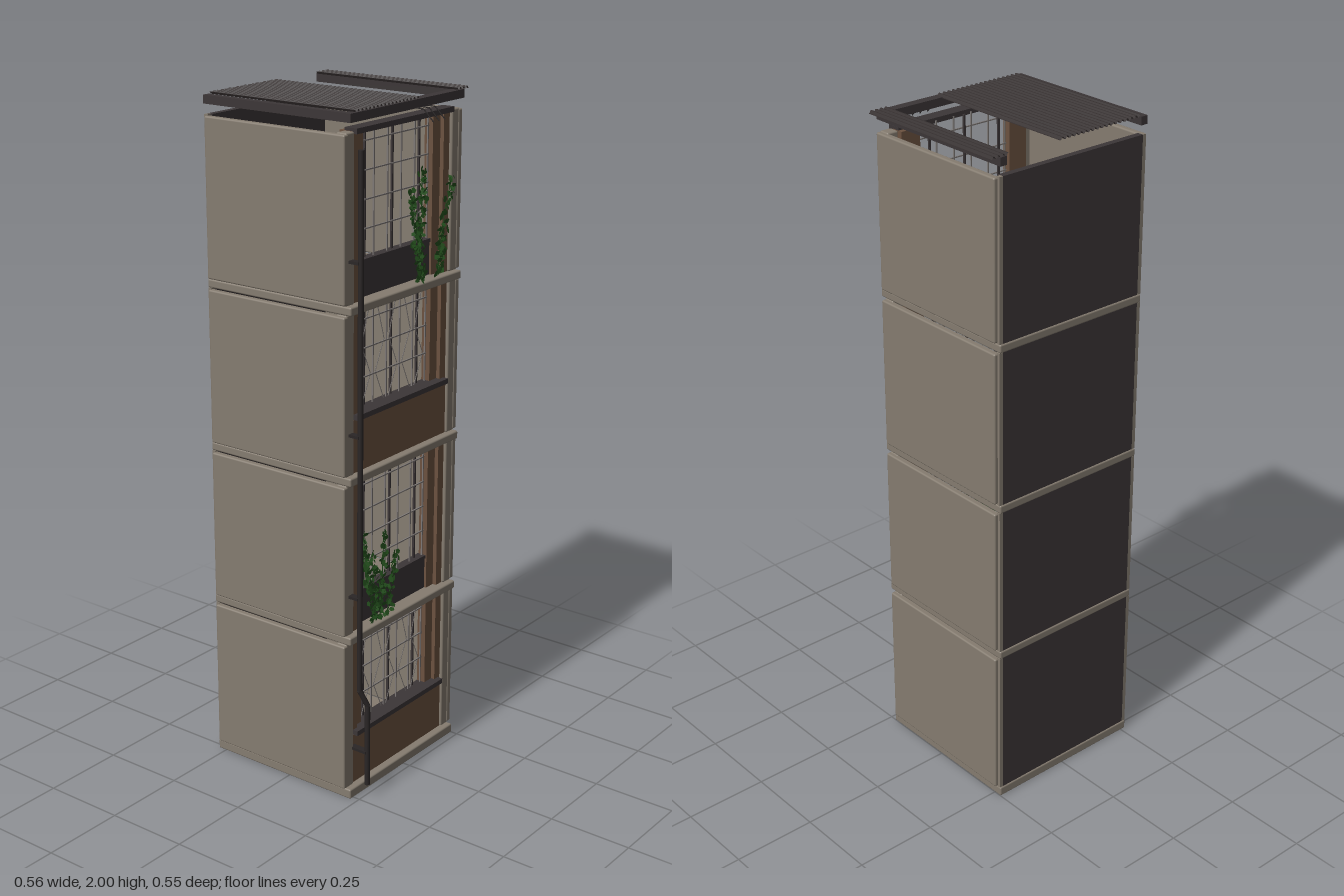
import * as THREE from 'three';
import { mergeGeometries } from 'three/addons/utils/BufferGeometryUtils.js';
import { RoundedBoxGeometry } from 'three/addons/geometries/RoundedBoxGeometry.js';

const C = -0.008; // centre line of the tower body
const mat = (name, color, side = THREE.FrontSide) => {
  const m = new THREE.MeshStandardMaterial({ color, side });
  m.name = name;
  return m;
};

export function createModel() {
  const concrete = mat('concrete', 0x857c70);
  const wood = mat('wood', 0x6c5240);
  const dark = mat('darkPanel', 0x3c3637);
  const roofing = mat('roofing', 0x352f2f, THREE.DoubleSide);
  const metal = mat('darkMetal', 0x2a2626);
  const bar = mat('grilleBar', 0x7d7876);
  const leaf = mat('leaf', 0x24501d, THREE.DoubleSide);

  const model = new THREE.Group();
  model.name = 'tower';
  const add = (parent, name, geo, material) => {
    const m = new THREE.Mesh(geo, material);
    m.name = name;
    parent.add(m);
    return m;
  };
  // box geometry given by its limits
  const span = (x0, x1, y0, y1, z0, z1) =>
    new THREE.BoxGeometry(x1 - x0, y1 - y0, z1 - z0).translate((x0 + x1) / 2, (y0 + y1) / 2, (z0 + z1) / 2);
  const rounded = (x0, x1, y0, y1, z0, z1, r) =>
    new RoundedBoxGeometry(x1 - x0, y1 - y0, z1 - z0, 2, r)
      .translate((x0 + x1) / 2, (y0 + y1) / 2, (z0 + z1) / 2);
  // round rod between two points
  const rod = (a, b, r, sides = 5) => {
    const p = new THREE.Vector3(...a), d = new THREE.Vector3(...b).sub(p);
    const g = new THREE.CylinderGeometry(r, r, d.length(), sides);
    g.applyQuaternion(new THREE.Quaternion().setFromUnitVectors(new THREE.Vector3(0, 1, 0), d.clone().normalize()));
    return g.translate(p.x + d.x / 2, p.y + d.y / 2, p.z + d.z / 2);
  };
  let seed = 7;
  const rnd = () => (seed = (seed * 16807) % 2147483647) / 2147483647;

  // Storey walls, bands and fronts
  const slabs = [[0, 0.03], [0.49, 0.515], [0.97, 0.995], [1.455, 1.48]];
  const tops = [0.49, 0.97, 1.455, 1.942];
  slabs.forEach(([s0, y0], i) => {
    const y1 = tops[i];
    const g = new THREE.Group();
    g.name = 'storey' + (i + 1);
    model.add(g);
    add(g, 'floorBand', rounded(C - 0.259, C + 0.259, s0, y0, -0.277, 0.23, 0.005), concrete);
    add(g, 'backWall', span(C - 0.247, C + 0.247, y0, y1, -0.274, -0.255), dark);
    for (const s of [-1, 1]) {
      const xs = (a, b) => (s < 0 ? [C - b, C - a] : [C + a, C + b]);
      add(g, 'sidePanel', rounded(...xs(0.25, 0.27), y0 + 0.003, y1 - 0.003, -0.266, 0.216, 0.005), concrete);
      add(g, 'backCorner', span(...xs(0.247, 0.259), y0, y1, -0.274, -0.262), concrete);
      add(g, 'frontCorner', rounded(...xs(0.222, 0.259), y0, y1, 0.18, 0.214, 0.005), concrete);
      add(g, 'outerJamb', span(...xs(0.195, 0.223), y0, y1, 0.165, 0.205), wood);
      add(g, 'innerJamb', span(...xs(0.16, 0.195), y0, y1, 0.165, 0.193), wood);
    }

    // Window grille with either a wooden apron or a dark lower panel
    const balcony = i % 2 === 1;
    const w0 = balcony ? y0 + 0.105 : y0 + 0.17;
    if (balcony) {
      add(g, 'lowerPanel', span(C - 0.16, C + 0.16, y0, w0 - 0.01, 0.165, 0.186), dark);
      add(g, 'lowerRail', span(C - 0.16, C + 0.16, w0 - 0.01, w0, 0.162, 0.19), dark);
    } else {
      add(g, 'apron', span(C - 0.222, C + 0.222, y0, w0 - 0.015, 0.165, 0.207), wood);
      add(g, 'sill', span(C - 0.214, C + 0.214, w0 - 0.015, w0, 0.165, 0.222), dark);
    }
    const bars = [], frame = [], rows = balcony ? 4 : 3, z = 0.177;
    for (let k = 0; k <= 5; k++) {
      const x = C - 0.155 + k * 0.062;
      bars.push(span(x - 0.0018, x + 0.0018, w0, y1, z, z + 0.004));
      if (k < 5 && k % 2 === 0) frame.push(span(x + 0.027, x + 0.033, w0, y1, z - 0.008, z - 0.002));
    }
    for (let k = 1; k <= rows; k++) {
      const y = w0 + (y1 - w0) * (k / (rows + 0.5));
      bars.push(span(C - 0.16, C + 0.16, y - 0.0018, y + 0.0018, z, z + 0.004));
    }
    if (!balcony) {
      // bent ornamental rods
      for (let k = 0; k < 5; k++) {
        const x = C - 0.124 + k * 0.062, s = k % 2 ? 1 : -1, h = y1 - w0;
        const pts = [0, 0.3, 0.6, 1].map((t, j) => [x + s * [0.02, -0.02, 0.02, -0.015][j], w0 + t * h, z + 0.002]);
        for (let j = 0; j < 3; j++) bars.push(rod(pts[j], pts[j + 1], 0.0016, 4));
      }
    }
    add(g, 'grille', mergeGeometries(bars), bar);
    add(g, 'windowFrame', mergeGeometries(frame), dark);
  });
  add(model, 'topLintel', span(C - 0.222, C + 0.222, 1.935, 1.95, 0.18, 0.22), dark);

  // Roof beams and two corrugated sheets with an opening between
  add(model, 'frontBeam', span(C - 0.259, C + 0.254, 1.97, 1.994, 0.2, 0.228), dark);
  add(model, 'leftBeam', span(C - 0.259, C - 0.236, 1.97, 1.994, -0.277, 0.228), dark);
  add(model, 'rightBeam', span(C + 0.236, C + 0.258, 1.97, 1.994, -0.277, 0.228), dark);
  const sheet = (x0, x1) => {
    const step = 0.0041, n = Math.round((x1 - x0) / step);
    const g = new THREE.PlaneGeometry(x1 - x0, 0.498, n, 1).rotateX(-Math.PI / 2);
    const p = g.attributes.position;
    for (let i = 0; i < p.count; i++) {
      const k = Math.round(((p.getX(i) + (x1 - x0) / 2) / (x1 - x0)) * n) % 4;
      p.setY(i, k < 2 ? 0.007 : 0);
    }
    const flat = g.toNonIndexed();
    flat.computeVertexNormals();
    return flat.translate((x0 + x1) / 2, 1.993, -0.026);
  };
  add(model, 'mainRoofSheet', sheet(-0.245, 0.047), roofing);
  add(model, 'sideRoofSheet', sheet(0.22, 0.28), roofing);

  // Roof hooks
  for (const x of [0.025, 0.052, 0.079]) {
    add(model, 'roofHook', mergeGeometries([
      rod([x, 1.972, 0.21], [x, 1.97, 0.25], 0.0018),
      rod([x, 1.97, 0.25], [x + 0.013, 1.936, 0.274], 0.0018),
    ]), metal);
  }

  // Drain pipe with wall clamps
  const pipe = [[-0.246, 1.9, 0.247], [-0.246, 0.35, 0.247], [-0.228, 0.3, 0.262], [-0.228, 0.045, 0.262]];
  for (let i = 0; i < 3; i++) add(model, 'drainPipe', rod(pipe[i], pipe[i + 1], 0.008, 10), metal);
  for (const y of [0.15, 0.635, 1.115, 1.6]) {
    const x = y < 0.3 ? -0.228 : -0.246;
    add(model, 'pipeClamp', span(x - 0.01, x + 0.01, y - 0.004, y + 0.004, 0.205, y < 0.3 ? 0.262 : 0.247), metal);
  }

  // Climbing plants: wandering stems carrying small pointed leaves
  const ivy = (name, stems, y0) => {
    const parts = [];
    for (const [xa, xb, h] of stems) {
      let prev = [xa, y0, 0.214];
      const n = Math.round(h / 0.014);
      for (let k = 1; k <= n; k++) {
        const t = k / n;
        const q = [xa + (xb - xa) * t + (rnd() - 0.5) * 0.012, y0 + h * t, 0.216 + rnd() * 0.006];
        parts.push(rod(prev, q, 0.0015, 3).toNonIndexed());
        for (let j = 0; j < 3; j++) {
          const r = 0.006 + rnd() * 0.005;
          const l = new THREE.CircleGeometry(r, 5).scale(0.8, 1.1, 1).rotateZ(rnd() * 6.28);
          l.rotateX((rnd() - 0.5) * 1.2).rotateY((rnd() - 0.5) * 1.2);
          l.translate(q[0] + (rnd() - 0.5) * 0.028, q[1] + (rnd() - 0.5) * 0.014, 0.218 + rnd() * 0.01);
          parts.push(l.toNonIndexed());
        }
        prev = q;
      }
    }
    add(model, name, mergeGeometries(parts), leaf);
  };
  ivy('lowerClimber', [[-0.14, -0.205, 0.29], [-0.125, -0.155, 0.22], [-0.11, -0.1, 0.26], [-0.08, -0.045, 0.19], [-0.15, -0.12, 0.12]], 0.515);
  ivy('upperClimber', [[0.06, 0.015, 0.27], [0.06, 0.065, 0.32], [0.065, 0.04, 0.2]], 1.48);
  ivy('upperSideClimber', [[0.14, 0.205, 0.27], [0.15, 0.16, 0.13]], 1.48);

  return model;
}
